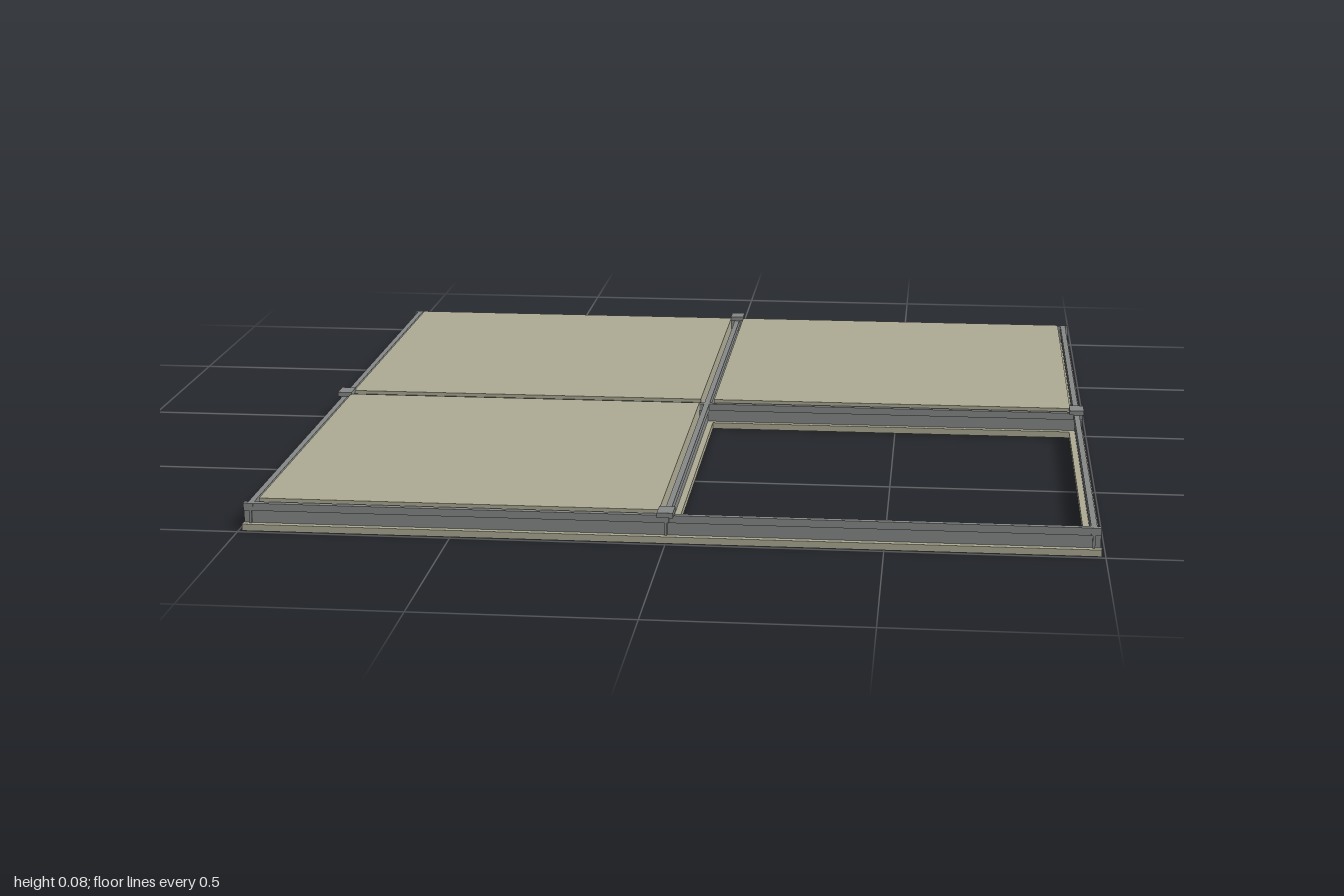
import * as THREE from 'three';

export function createModel() {
  const root = new THREE.Group();
  root.name = 'ceilingGrid';
  const material = (name, color) => {
    const m = new THREE.MeshStandardMaterial({ color });
    m.name = name;
    return m;
  };
  const beige = material('beige panel', 0xadab94);
  const steel = material('grey steel', 0x868988);

  // Box given by its centre on the plan and its bottom and top heights
  const box = (parent, name, mat, w, d, x, z, y0, y1) => {
    const mesh = new THREE.Mesh(new THREE.BoxGeometry(w, y1 - y0, d), mat);
    mesh.position.set(x, (y0 + y1) / 2, z);
    mesh.name = name;
    parent.add(mesh);
  };

  const EDGE = 0.973; // centre line of the outer bars
  const FLANGE = 0.036;

  // Inverted T bar: flat flange, thin web and a thicker bulb on top
  const bar = (name, alongX, offset, length, flangeLength) => {
    const g = new THREE.Group();
    g.name = name;
    const part = (label, mat, len, width, y0, y1) => alongX
      ? box(g, label, mat, len, width, 0, offset, y0, y1)
      : box(g, label, mat, width, len, offset, 0, y0, y1);
    part('flange', beige, flangeLength, FLANGE, 0, 0.016);
    part('web', steel, length, 0.006, 0.016, 0.048);
    part('bulb', steel, length, 0.014, 0.046, 0.064);
    root.add(g);
  };
  for (const s of [-1, 0, 1]) {
    bar('crossBar', true, s * EDGE, 1.978, 1.982);
    bar('mainBar', false, s * EDGE, 1.962, 1.982);
  }

  // Three panels resting on the flanges; the front left bay stays open
  const inner = 0.018, outer = 0.957;
  const size = outer - inner, mid = (outer + inner) / 2;
  for (const [sx, sz] of [[-1, -1], [1, -1], [-1, 1]]) {
    box(root, 'panel', beige, size, size, sx * mid, sz * mid, 0.013, 0.07);
  }

  // Hanger clips at the middle of each outer bar
  for (const [x, z] of [[0, -1], [0, 1], [-1, 0], [1, 0]]) {
    const clip = new THREE.Group();
    clip.name = 'hangerClip';
    box(clip, 'clipPlate', steel, 0.037, 0.052, x * EDGE, z * 0.974, 0.064, 0.076);
    root.add(clip);
  }
  return root;
}
